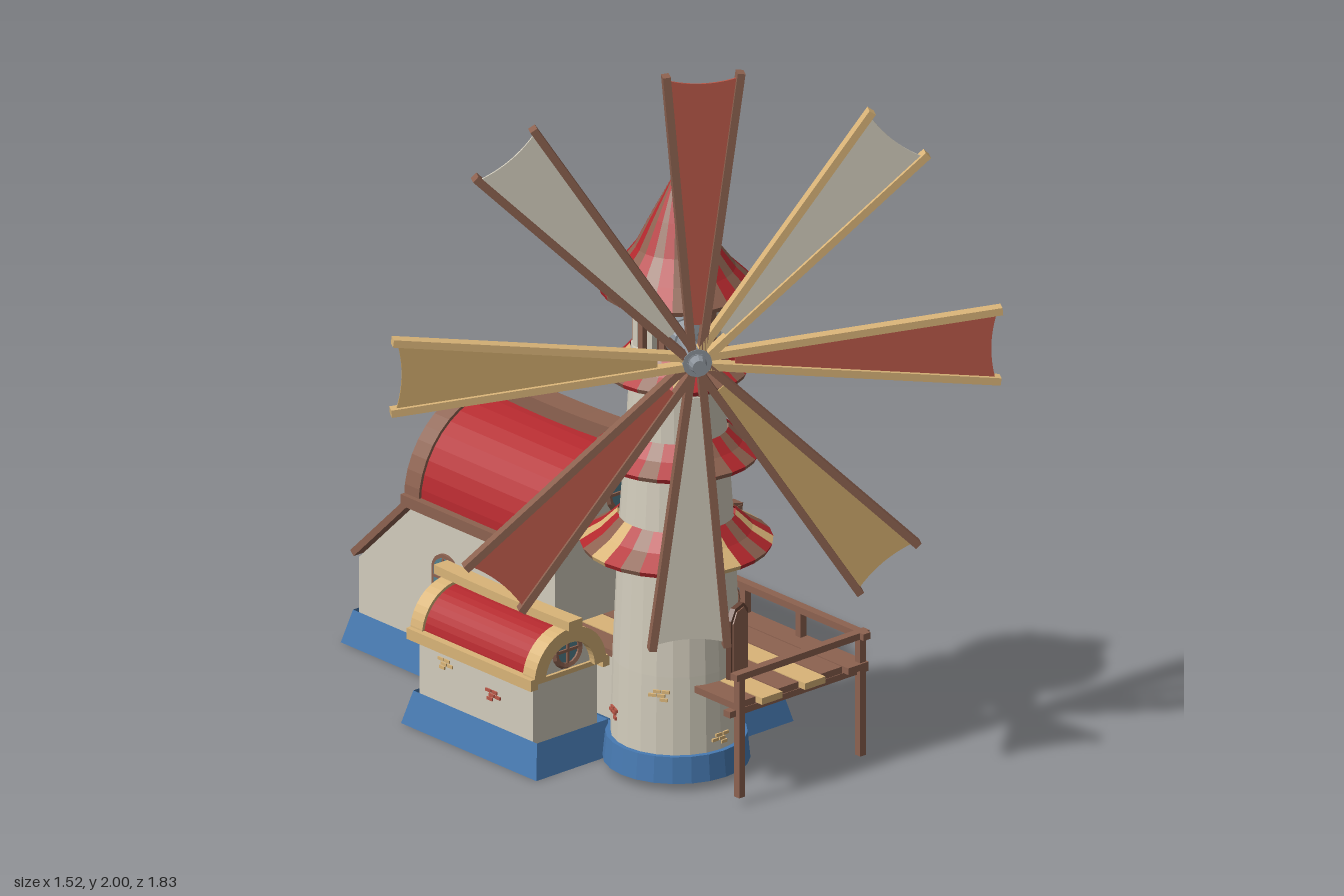
import * as THREE from 'three';

const mat = (name, color) => Object.assign(new THREE.MeshStandardMaterial({ color, side: THREE.DoubleSide }), { name });
const M = {
  cream: mat('cream plaster', 0xd2ccbc), red: mat('red tile', 0xb3282d), sailRed: mat('red cloth', 0xb95848),
  brown: mat('brown wood', 0x8d6250), tan: mat('tan wood', 0xd9b478), blue: mat('blue stone', 0x477ab2),
  glass: mat('teal glass', 0x53808e), grey: mat('grey metal', 0x8b929a), dark: mat('dark wood', 0x6a4638),
  sailTan: mat('tan cloth', 0xc8a468),
};
const V = (x, y, z) => new THREE.Vector3(x, y, z);

// Faceted mesh added to a parent
function add(parent, name, geo, material, x = 0, y = 0, z = 0) {
  const g = geo.index ? geo.toNonIndexed() : geo;
  g.computeVertexNormals();
  const m = new THREE.Mesh(g, material);
  m.name = name;
  m.position.set(x, y, z);
  parent.add(m);
  return m;
}
function group(parent, name, x = 0, y = 0, z = 0, ry = 0) {
  const g = new THREE.Group();
  g.name = name;
  g.position.set(x, y, z);
  g.rotation.y = ry;
  parent.add(g);
  return g;
}
// Box from minimum to maximum corner
const box = (p, name, m, x0, x1, y0, y1, z0, z1) =>
  add(p, name, new THREE.BoxGeometry(x1 - x0, y1 - y0, z1 - z0), m, (x0 + x1) / 2, (y0 + y1) / 2, (z0 + z1) / 2);
// Square beam between two points
function bar(p, name, m, a, b, w, h = w) {
  const mid = a.clone().add(b).multiplyScalar(0.5);
  const o = new THREE.Object3D();
  o.position.copy(mid);
  o.lookAt(b);
  const mesh = add(p, name, new THREE.BoxGeometry(w, h, a.distanceTo(b)), m, mid.x, mid.y, mid.z);
  mesh.quaternion.copy(o.quaternion);
}
const extrude = (shape, depth, curveSegments = 10) => new THREE.ExtrudeGeometry(shape, { depth, bevelEnabled: false, curveSegments });

// Outline with a straight lower part and a round top
function arch(hw, spring, r = hw) {
  const s = new THREE.Shape();
  s.moveTo(-hw, 0).lineTo(hw, 0).lineTo(hw, spring).lineTo(r, spring);
  s.absarc(0, spring, r, 0, Math.PI, false);
  s.lineTo(-hw, spring).lineTo(-hw, 0);
  return s;
}
function archWindow(p, x, y, z, ry, w = 0.085, h = 0.13) {
  const g = group(p, 'archedWindow', x, y, z, ry), hw = w / 2;
  add(g, 'frame', extrude(arch(hw, h - hw), 0.008), M.brown);
  add(g, 'glass', extrude(arch(hw - 0.01, h - hw - 0.01), 0.004), M.glass, 0, 0.01, 0.006);
  box(g, 'mullion', M.brown, -0.003, 0.003, 0.01, h - 0.01, 0.006, 0.013);
  box(g, 'transom', M.brown, -hw + 0.01, hw - 0.01, h * 0.55, h * 0.55 + 0.006, 0.006, 0.013);
}
function roundWindow(p, x, y, z, ry, r = 0.045) {
  const g = group(p, 'roundWindow', x, y, z, ry);
  add(g, 'glass', new THREE.CircleGeometry(r, 16), M.glass, 0, 0, 0.006);
  add(g, 'frame', new THREE.TorusGeometry(r, 0.009, 5, 16), M.brown, 0, 0, 0.006);
  box(g, 'mullion', M.brown, -0.004, 0.004, -r, r, 0, 0.011);
  box(g, 'transom', M.brown, -r, r, -0.004, 0.004, 0, 0.011);
}
function door(p, x, y, z, ry, w, h) {
  const g = group(p, 'door', x, y, z, ry), hw = w / 2;
  const leaf = (a, t) => new THREE.Shape([[-a, 0], [a, 0], [a, t - 0.025], [a * 0.5, t], [-a * 0.5, t], [-a, t - 0.025]].map(q => new THREE.Vector2(...q)));
  add(g, 'doorFrame', extrude(leaf(hw, h), 0.014), M.dark);
  add(g, 'doorLeaf', extrude(leaf(hw - 0.008, h - 0.01), 0.017), M.brown);
}
// Small rows of exposed bricks
function patch(p, x, y, z, ry, m) {
  const g = group(p, 'exposedBricks', x, y, z, ry);
  [[-0.018, 0], [0.005, 0], [-0.006, 0.011], [0.017, 0.011], [0.012, -0.011]].forEach(([a, b]) =>
    box(g, 'brick', m, a - 0.01, a + 0.01, b - 0.004, b + 0.004, -0.004, 0.004));
}
// Open, flared stone footing
function footing(p, x0, x1, z0, z1) {
  const g = new THREE.CylinderGeometry(1, 1, 0.09, 4, 1, true).rotateY(Math.PI / 4), a = g.attributes.position;
  for (let i = 0; i < a.count; i++) {
    const f = a.getY(i) < 0 ? 0.028 : 0.006;
    a.setX(i, Math.sign(a.getX(i)) * ((x1 - x0) / 2 + f));
    a.setZ(i, Math.sign(a.getZ(i)) * ((z1 - z0) / 2 + f));
  }
  add(p, 'footing', g, M.blue, (x0 + x1) / 2, 0.045, (z0 + z1) / 2);
}
// Barrel-roofed house running along z
function house(p, name, { cx, z0, z1, hw, spring, r, trim, rim, over, ridge, lift }) {
  const g = group(p, name, cx, 0, 0);
  add(g, 'walls', extrude(arch(hw, spring - 0.05, hw), z1 - z0 - 0.04), M.cream, 0, 0.05, z0 + 0.02);
  const band = (a, b) => {
    const s = new THREE.Shape();
    s.absarc(0, 0, a, 0, Math.PI, false);
    s.absarc(0, 0, b, Math.PI, 0, true);
    return s;
  };
  add(g, 'barrelRoof', extrude(band(r - 0.008, hw - 0.01), z1 - z0 - 0.04), M.red, 0, spring, z0 + 0.02);
  for (const z of [z0, z1 - rim]) {
    add(g, 'roofRim', extrude(band(r, hw - 0.025), rim), trim, 0, spring, z);
  }
  for (const s of [-1, 1]) box(g, 'eaveBeam', trim, s * r - 0.012, s * r + 0.012, spring - 0.015, spring + 0.015, z0, z1);
  // Ridge beam with upturned ends
  const a = z0 - over, b = z1 + over, m = (a + b) / 2, y = spring + r, s = new THREE.Shape();
  s.moveTo(-a, y + lift).quadraticCurveTo(-m, y - lift, -b, y + lift);
  s.lineTo(-b, y + lift + ridge * 0.7).quadraticCurveTo(-m, y - lift + ridge * 0.7, -a, y + lift + ridge * 0.7);
  add(g, 'ridgeBeam', extrude(s, ridge * 1.3).rotateY(Math.PI / 2), trim, -ridge * 0.65, 0, 0);
  return g;
}

function buildTower(root) {
  const t = group(root, 'tower', 0.07, 0, 0.25);
  const lathe = (pts, n = 24, a = 0, l = Math.PI * 2) => new THREE.LatheGeometry(pts.map(q => new THREE.Vector2(...q)), n, a, l);
  add(t, 'towerFooting', lathe([[0.187, 0.02], [0.18, 0.09], [0.16, 0.09]]), M.blue);
  add(t, 'towerWall', lathe([[0.168, 0.05], [0.162, 0.3], [0.147, 0.65], [0.128, 0.92], [0.115, 1.15], [0, 1.15]]), M.cream);
  // Striped skirts and cap, one wedge at a time
  const striped = (name, pts, n, colours) => {
    const g = group(t, name);
    for (let i = 0; i < n; i++) add(g, 'roofStripe', lathe(pts, 1, i * 2 * Math.PI / n, 2 * Math.PI / n), colours[i % colours.length]);
  };
  const { red, brown, tan } = M;
  const skirt = (ri, y1, ro, y0) => [[ri, y0 + 0.03], [ro - 0.005, y0 - 0.012], [ro, y0], [ro * 0.45 + ri * 0.55, y0 * 0.55 + y1 * 0.45], [ri, y1]];
  striped('lowerSkirt', skirt(0.15, 0.69, 0.245, 0.615), 28, [red, brown, red, tan, red, brown, tan]);
  striped('middleSkirt', skirt(0.132, 0.925, 0.212, 0.86), 26, [red, brown]);
  striped('upperSkirt', skirt(0.118, 1.145, 0.183, 1.085), 24, [red, brown, red, tan, red, brown]);
  striped('capRoof', [[0, 1.32], [0.195, 1.3], [0.198, 1.312], [0.15, 1.36], [0.105, 1.42], [0.065, 1.5], [0.028, 1.57], [0, 1.625]], 24, [red, brown]);
  // Lantern room with bars
  add(t, 'lanternCore', new THREE.CylinderGeometry(0.088, 0.088, 0.19, 16, 1, true), M.dark, 0, 1.22, 0);
  for (let i = 0; i < 18; i++) {
    const a = i * Math.PI / 9, x = Math.sin(a) * 0.1, z = Math.cos(a) * 0.1;
    bar(t, 'lanternBar', i % 2 ? M.brown : M.cream, V(x, 1.13, z), V(x, 1.32, z), 0.018);
  }
  door(t, 0.064, 0.275, 0.148, 0.4, 0.1, 0.185);
  roundWindow(t, 0.159, 0.415, 0, Math.PI / 2);
  [[0.163, 0.15, 1.2, M.sailRed], [0.157, 0.53, 1.6, M.tan], [0.137, 0.8, 1.3, M.tan], [0.122, 1.02, 1.65, M.sailRed],
    [0.165, 0.12, 0, M.tan], [0.163, 0.25, -1, M.tan], [0.165, 0.16, -2, M.sailRed], [0.14, 0.78, 3.5, M.sailRed]]
    .forEach(([r, y, a, m]) => patch(t, r * Math.sin(a), y, r * Math.cos(a), a, m));
}

function buildWheel(root) {
  const w = group(root, 'sailWheel', -0.083, 1.218, 0.495, -0.54);
  const cyl = (name, r0, r1, l, z) => add(w, name, new THREE.CylinderGeometry(r0, r1, l, 12).rotateX(Math.PI / 2), M.grey, 0, 0, z);
  cyl('shaft', 0.026, 0.026, 0.3, -0.13);
  cyl('shaftCollar', 0.032, 0.052, 0.035, -0.145);
  cyl('shaftSocket', 0.052, 0.052, 0.07, -0.19);
  cyl('hub', 0.038, 0.038, 0.035, 0);
  cyl('hubNose', 0.018, 0.025, 0.03, 0.03);
  const { sailRed, cream, sailTan, tan, brown } = M;
  const sails = [[0, sailRed, tan], [49.5, cream, tan], [90, sailRed, brown], [130.5, cream, brown],
    [180, sailTan, tan], [229.5, sailRed, brown], [270, cream, brown], [310.5, sailTan, brown]];
  for (const [deg, cloth, wood] of sails) {
    const b = group(w, 'sail');
    b.rotation.z = deg * Math.PI / 180 - 0.023;
    for (const s of [-1, 1]) bar(b, 'sailSpar', wood, V(0.02, s * 0.012, 0), V(0.783, s * 0.096, 0), 0.03, 0.02);
    const c = new THREE.Shape();
    c.moveTo(0.1, -0.018).lineTo(0.77, -0.09).quadraticCurveTo(0.745, 0, 0.77, 0.09).lineTo(0.1, 0.018);
    add(b, 'sailCloth', extrude(c, 0.005), cloth);
  }
}

function buildDeck(root) {
  const d = group(root, 'deck');
  [M.brown, M.tan, M.brown, M.tan, M.brown, M.brown].forEach((m, i) =>
    box(d, 'deckPlank', m, i * 0.073, i * 0.073 + 0.069, 0.257, 0.275, -0.11, 0.55 + (i % 2) * 0.02));
  for (const z of [0.3, 0.54]) box(d, 'deckJoist', M.brown, -0.02, 0.45, 0.24, 0.257, z - 0.012, z + 0.012);
  const post = (x, z, y0) => box(d, 'railPost', M.brown, x - 0.01, x + 0.01, y0, 0.355, z - 0.01, z + 0.01);
  post(0.42, 0.555, 0.02);
  post(0.01, 0.555, 0.02);
  for (const z of [0.33, 0.12, -0.09]) post(0.42, z, 0.26);
  bar(d, 'frontRail', M.brown, V(-0.01, 0.35, 0.555), V(0.44, 0.35, 0.555), 0.024, 0.018);
  bar(d, 'sideRail', M.brown, V(0.42, 0.35, 0.58), V(0.42, 0.35, -0.1), 0.024, 0.018);
}

export function createModel() {
  const root = new THREE.Group();
  root.name = 'windmillFarm';
  buildTower(root);
  buildWheel(root);
  buildDeck(root);
  const R = Math.PI / 2;

  // Main house
  footing(root, -0.005, 0.445, -0.875, 0.215);
  house(root, 'mainHouse', { cx: 0.215, z0: -0.66, z1: -0.1, hw: 0.225, spring: 0.47, r: 0.252, trim: M.brown, rim: 0.055, over: 0.08, ridge: 0.055, lift: 0.018 });
  roundWindow(root, 0.215, 0.59, -0.118, 0, 0.05);
  roundWindow(root, 0.215, 0.59, -0.642, Math.PI, 0.05);
  archWindow(root, 0.31, 0.285, -0.12, 0, 0.11, 0.175);
  door(root, 0.44, 0.09, -0.28, R, 0.115, 0.205);
  archWindow(root, 0.44, 0.11, -0.43, R, 0.095, 0.15);
  box(root, 'squareWindowFrame', M.brown, 0.436, 0.446, 0.305, 0.425, -0.475, -0.38);
  box(root, 'squareWindowGlass', M.glass, 0.44, 0.449, 0.315, 0.415, -0.465, -0.39);
  archWindow(root, -0.01, 0.2, -0.53, -R, 0.095, 0.15);

  // Low wing under the deck
  box(root, 'wingWalls', M.cream, 0.005, 0.44, 0.05, 0.256, -0.13, 0.21);
  for (const z of [0.13, -0.055]) archWindow(root, 0.44, 0.1, z, R, 0.09, 0.145);
  patch(root, 0.36, 0.14, 0.21, 0, M.sailRed);

  // Rear lean-to with a plank roof
  const prof = new THREE.Shape([[0.63, 0.05], [0.87, 0.05], [0.87, 0.235], [0.63, 0.47]].map(q => new THREE.Vector2(...q)));
  add(root, 'leanToWalls', extrude(prof, 0.43).rotateY(R), M.cream, 0, 0, 0);
  [M.brown, M.brown, M.tan, M.brown, M.tan, M.brown].forEach((m, i) => {
    const x = 0.037 + i * 0.073, k = (i % 2) * 0.008;
    bar(root, 'leanToPlank', m, V(x, 0.49, -0.64), V(x, 0.235 - k, -0.9 - k), 0.07, 0.018);
  });
  for (const x of [0.08, 0.215, 0.35]) archWindow(root, x, 0.1, -0.87, Math.PI, 0.08, 0.125);

  // Side porch and steps
  bar(root, 'porchRoof', M.red, V(0.44, 0.478, -0.38), V(0.6, 0.442, -0.38), 0.5, 0.012);
  for (const z of [-0.12, -0.64]) bar(root, 'porchRafter', M.brown, V(0.44, 0.477, z), V(0.61, 0.438, z), 0.035, 0.025);
  box(root, 'porchBeam', M.brown, 0.585, 0.608, 0.415, 0.447, -0.66, -0.1);
  for (const z of [-0.13, -0.5]) box(root, 'porchPost', M.brown, 0.575, 0.598, 0.01, 0.42, z - 0.012, z + 0.012);
  [[0.57, 0.08], [0.61, 0.056], [0.65, 0.032]].forEach(([x, y], i) =>
    box(root, 'step', i === 1 ? M.tan : M.brown, i ? x - 0.05 : 0.45, x, y - 0.018, y, -0.5, -0.165));

  // Right cottage
  footing(root, 0.46, 0.725, -0.815, -0.51);
  house(root, 'rightCottage', { cx: 0.588, z0: -0.83, z1: -0.515, hw: 0.128, spring: 0.225, r: 0.14, trim: M.brown, rim: 0.03, over: 0.045, ridge: 0.03, lift: 0.004 });
  roundWindow(root, 0.588, 0.29, -0.533, 0, 0.042);
  roundWindow(root, 0.588, 0.29, -0.812, Math.PI, 0.042);
  for (const z of [-0.595, -0.745]) archWindow(root, 0.716, 0.1, z, R, 0.08, 0.12);
  box(root, 'gableBeam', M.brown, 0.455, 0.72, 0.215, 0.23, -0.54, -0.526);
  patch(root, 0.65, 0.15, -0.535, 0, M.tan);

  // Left cottage
  footing(root, -0.245, -0.01, -0.38, 0.075);
  house(root, 'leftCottage', { cx: -0.128, z0: -0.4, z1: 0.07, hw: 0.108, spring: 0.245, r: 0.122, trim: M.tan, rim: 0.045, over: 0.02, ridge: 0.035, lift: 0.004 });
  roundWindow(root, -0.128, 0.305, 0.052, 0, 0.042);
  roundWindow(root, -0.128, 0.305, -0.382, Math.PI, 0.042);
  box(root, 'gableBeam', M.tan, -0.24, -0.02, 0.237, 0.25, 0.04, 0.058);
  patch(root, -0.236, 0.16, -0.1, R, M.sailRed);
  patch(root, -0.236, 0.19, -0.28, R, M.tan);
  return root;
}
